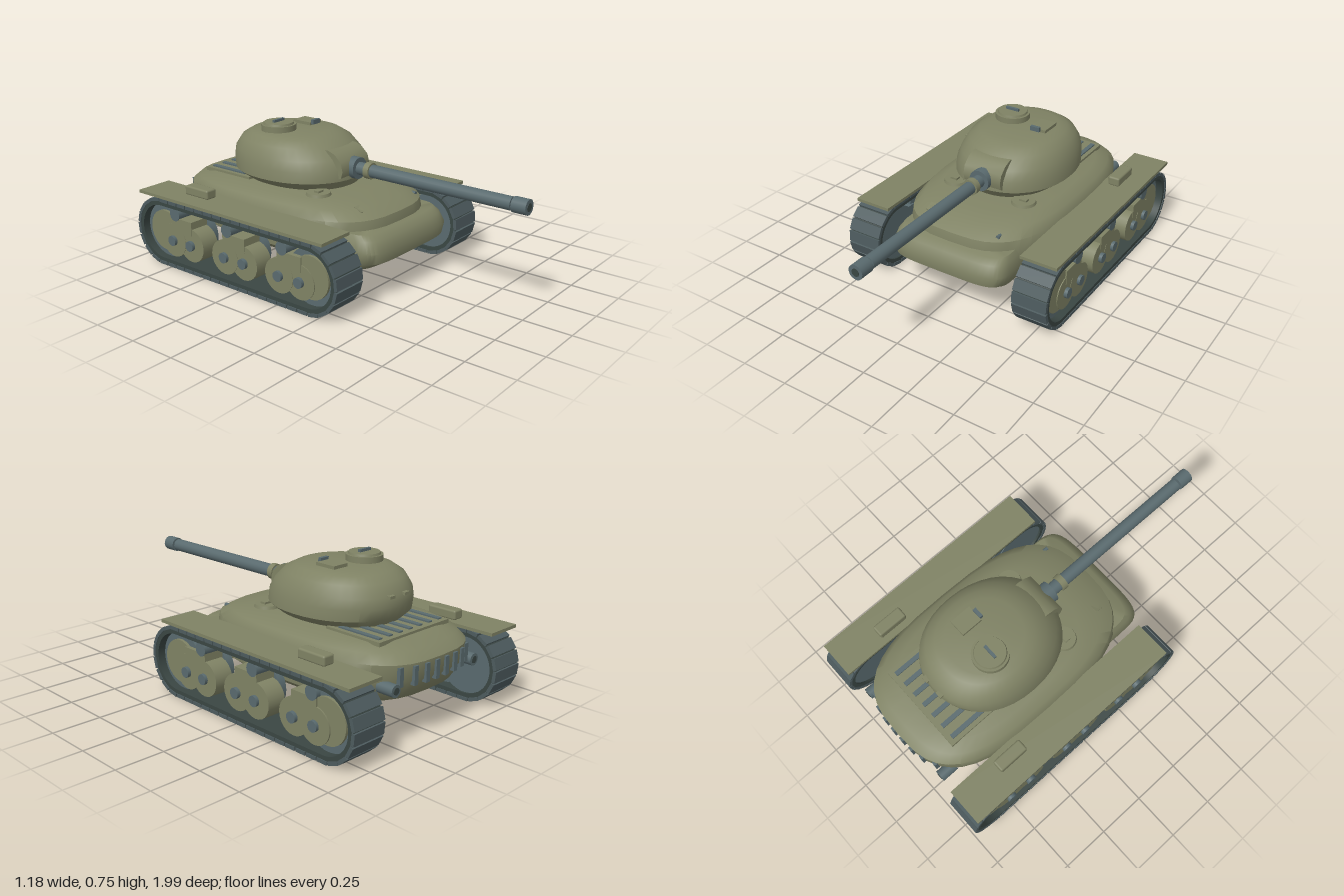
import * as THREE from 'three';
import { toCreasedNormals } from 'three/addons/utils/BufferGeometryUtils.js';
import { RoundedBoxGeometry } from 'three/addons/geometries/RoundedBoxGeometry.js';

const flat = (name, color) => Object.assign(new THREE.MeshStandardMaterial({ color }), { name });

// Stack of superellipse rings; each layer is [y, half width, front z, rear z]
function loft(layers, n, seg = 40) {
  const pos = [], idx = [];
  const bend = v => Math.sign(v) * Math.abs(v) ** (2 / n);
  for (const [y, hx, zf, zr] of layers) {
    for (let j = 0; j < seg; j++) {
      const a = (j / seg) * Math.PI * 2;
      pos.push(hx * bend(Math.cos(a)), y, (zf + zr) / 2 + ((zf - zr) / 2) * bend(Math.sin(a)));
    }
  }
  const top = layers.length - 1, c0 = pos.length / 3;
  for (const i of [0, top]) pos.push(0, layers[i][0], (layers[i][2] + layers[i][3]) / 2);
  for (let j = 0; j < seg; j++) {
    const k = (j + 1) % seg;
    for (let i = 0; i < top; i++) {
      const a = i * seg + j, b = i * seg + k;
      idx.push(a, a + seg, b, b, a + seg, b + seg);
    }
    idx.push(c0, j, k, c0 + 1, top * seg + k, top * seg + j);
  }
  const g = new THREE.BufferGeometry();
  g.setAttribute('position', new THREE.Float32BufferAttribute(pos, 3));
  g.setIndex(idx);
  return toCreasedNormals(g, 0.75);
}

// Stadium outline in the (z, y) plane
function stadium(P, r, z0, z1, cy) {
  const p = new P();
  p.absarc(z1, cy, r, -Math.PI / 2, Math.PI / 2, false);
  p.absarc(z0, cy, r, Math.PI / 2, Math.PI * 1.5, false);
  p.closePath();
  return p;
}

// Extrude a (z, y) shape across x, centred on x = 0
function extrudeX(shape, width) {
  const g = new THREE.ExtrudeGeometry(shape, { depth: width, bevelEnabled: false, curveSegments: 20 });
  return g.rotateY(-Math.PI / 2).translate(width / 2, 0, 0);
}

export function createModel() {
  const olive = flat('olive paint', 0x7f8264);
  const steel = flat('gun steel', 0x596a6e);
  const tread = flat('track steel', 0x4d5b5e);
  const dark = flat('dark band', 0x3a4643);

  const model = new THREE.Group();
  model.name = 'tank';
  const add = (parent, name, geo, mat, x = 0, y = 0, z = 0) => {
    const m = new THREE.Mesh(geo, mat);
    m.name = name;
    m.position.set(x, y, z);
    parent.add(m);
    return m;
  };
  const box = (w, h, d) => new THREE.BoxGeometry(w, h, d);
  const cylX = (r, w, s = 24) => new THREE.CylinderGeometry(r, r, w, s).rotateZ(Math.PI / 2);
  const cylZ = (r, w, s = 20) => new THREE.CylinderGeometry(r, r, w, s).rotateX(Math.PI / 2);
  const part = name => {
    const g = new THREE.Group();
    g.name = name;
    model.add(g);
    return g;
  };

  // Cast hull and lower nose
  const hull = part('hull');
  add(hull, 'hullBody', loft([
    [0.153, 0.33, 0.25, -0.8], [0.2, 0.395, 0.29, -0.9], [0.3, 0.408, 0.315, -0.965],
    [0.38, 0.404, 0.295, -0.968], [0.42, 0.375, 0.22, -0.92], [0.445, 0.32, 0.09, -0.83],
  ], 3), olive);
  add(hull, 'nosePlate', loft([
    [0.155, 0.3, 0.31, 0], [0.2, 0.325, 0.385, 0], [0.255, 0.338, 0.393, 0],
    [0.31, 0.323, 0.365, 0], [0.335, 0.31, 0.33, 0],
  ], 5), olive);

  // Driver hatches, periscopes and bow gun
  for (const s of [-1, 1]) {
    add(hull, 'driverHatch', new THREE.CylinderGeometry(0.06, 0.066, 0.02, 24), olive, s * 0.205, 0.45, -0.055);
    add(hull, 'hatchPeriscope', box(0.04, 0.012, 0.03), olive, s * 0.21, 0.464, -0.05);
  }
  for (const x of [-0.185, -0.11]) {
    add(hull, 'visionBlock', box(0.04, 0.014, 0.05), olive, x, 0.412, 0.19).rotation.x = 0.35;
  }
  add(hull, 'bowGun', cylZ(0.01, 0.06, 12), steel, 0.23, 0.395, 0.2);

  // Engine deck with grille bars
  add(hull, 'engineDeck', box(0.49, 0.02, 0.32), olive, 0, 0.447, -0.655);
  for (let i = -3; i <= 3; i++) add(hull, 'deckGrille', box(0.024, 0.016, 0.24), steel, i * 0.07, 0.456, -0.67);

  // Rear louvres follow the hull curve
  for (let i = 0; i < 8; i++) {
    const x = (i - 3.5) * 0.066;
    const z = -0.325 - 0.64 * (1 - (Math.abs(x) / 0.406) ** 3) ** (1 / 3);
    add(hull, 'rearLouvre', box(0.025, 0.09, 0.022), steel, x, 0.325, z);
  }
  for (const s of [-1, 1]) {
    add(hull, 'exhaustPipe', cylZ(0.03, 0.09), steel, s * 0.28, 0.28, -0.9);
    add(hull, 'exhaustBore', cylZ(0.017, 0.006), dark, s * 0.28, 0.28, -0.945);
  }

  // Turret shell, mantlet and roof fittings
  const turret = part('turret');
  add(turret, 'turretShell', loft([
    [0.45, 0.25, -0.02, -0.66], [0.495, 0.309, 0.015, -0.705], [0.55, 0.305, 0.01, -0.715],
    [0.6, 0.29, -0.02, -0.71], [0.655, 0.262, -0.08, -0.67], [0.685, 0.22, -0.14, -0.62],
    [0.697, 0.18, -0.19, -0.57],
  ], 2.15), olive);
  const mantletShape = new THREE.Shape([
    [-0.14, 0.5], [-0.02, 0.5], [0.01, 0.515], [0.02, 0.55], [0.008, 0.595], [-0.03, 0.63], [-0.07, 0.645], [-0.14, 0.645],
  ].map(([z, y]) => new THREE.Vector2(z, y)));
  add(turret, 'mantlet', toCreasedNormals(extrudeX(mantletShape, 0.218), 0.8), olive);

  add(turret, 'cupolaBase', new THREE.CylinderGeometry(0.091, 0.091, 0.045, 28), olive, -0.09, 0.705, -0.42);
  add(turret, 'cupolaLid', new THREE.CylinderGeometry(0.076, 0.08, 0.012, 28), olive, -0.09, 0.732, -0.42);
  add(turret, 'cupolaHandle', box(0.075, 0.014, 0.014), steel, -0.09, 0.744, -0.42);
  add(turret, 'loaderHatch', box(0.09, 0.026, 0.115), olive, 0.11, 0.7, -0.397);
  add(turret, 'loaderPeriscope', box(0.052, 0.024, 0.018), steel, 0.1, 0.714, -0.333);
  for (const x of [-0.05, 0.05]) add(turret, 'rearLug', box(0.035, 0.014, 0.03), olive, x, 0.6, -0.705);

  // Main gun; the muzzle stands a hair clear of the barrel
  const gun = part('mainGun');
  const gunY = 0.55;
  add(gun, 'gunCollar', cylZ(0.056, 0.05, 24), steel, 0, gunY, 0.018);
  add(gun, 'barrel', cylZ(0.033, 0.89), steel, 0, gunY, 0.47);
  add(gun, 'barrelRing', cylZ(0.042, 0.032), olive, 0, gunY, 0.108);
  add(gun, 'muzzle', cylZ(0.038, 0.075), steel, 0, gunY, 0.9605);
  add(gun, 'bore', cylZ(0.02, 0.004), dark, 0, gunY, 0.998);

  // Running gear, mirrored to both sides
  const z0 = -0.807, z1 = 0.192, cy = 0.183, R = 0.176;
  const band = stadium(THREE.Shape, R, z0, z1, cy);
  band.holes.push(stadium(THREE.Path, 0.145, z0, z1, cy));
  const bandGeo = toCreasedNormals(extrudeX(band, 0.182), 0.5);
  const padGeo = box(0.19, 0.018, 0.058);
  const run = z1 - z0, arc = Math.PI * R, total = 2 * (run + arc), pads = 48;

  for (const s of [-1, 1]) {
    const side = part(s > 0 ? 'leftRunningGear' : 'rightRunningGear');
    const cx = s * 0.495;
    add(side, 'trackBand', bandGeo, dark, cx);

    // Track pads walk along the loop: bottom, front curve, top, rear curve
    for (let i = 0; i < pads; i++) {
      let d = (i / pads) * total, z, a;
      if (d < run) { z = z0 + d; a = -Math.PI / 2; }
      else if ((d -= run) < arc) { z = z1; a = -Math.PI / 2 + d / R; }
      else if ((d -= arc) < run) { z = z1 - d; a = Math.PI / 2; }
      else { z = z0; a = Math.PI / 2 + (d - run) / R; }
      const r = R - 0.002;
      add(side, 'trackPad', padGeo, tread, cx, cy + r * Math.sin(a), z + r * Math.cos(a)).rotation.x = Math.PI / 2 - a;
    }

    // Idler and drive sprocket
    for (const z of [z0, z1]) {
      add(side, 'endWheel', cylX(0.147, 0.13, 32), steel, s * 0.48, cy, z);
      add(side, 'endWheelDisc', cylX(0.11, 0.02, 28), olive, s * 0.55, cy, z);
    }

    // Three bogies, each with two road wheels and a return roller
    for (const z of [0.065, -0.3, -0.675]) {
      for (const dz of [-0.065, 0.065]) {
        const out = dz > 0 ? 0 : 0.002;
        add(side, 'roadWheel', cylX(0.09, 0.1), olive, s * (0.515 + out), 0.145, z + dz);
        add(side, 'roadWheelHub', cylX(0.027, 0.02, 16), steel, s * 0.573, 0.145, z + dz);
      }
      add(side, 'innerWheelDisc', cylX(0.115, 0.04, 28), steel, s * 0.44, 0.17, z);
      add(side, 'bogieBracket', box(0.12, 0.075, 0.15), olive, s * 0.508, 0.235, z);
      add(side, 'returnRoller', cylX(0.035, 0.14, 20), steel, s * 0.5, 0.29, z - 0.045);
    }

    // Fender and stowage box
    add(side, 'fender', box(0.2, 0.016, 1.25), olive, s * 0.492, 0.376, -0.335);
    add(side, 'stowageBox', new RoundedBoxGeometry(0.064, 0.05, 0.165, 2, 0.01), olive, s * 0.458, 0.406, -0.637);
  }
  return model;
}
